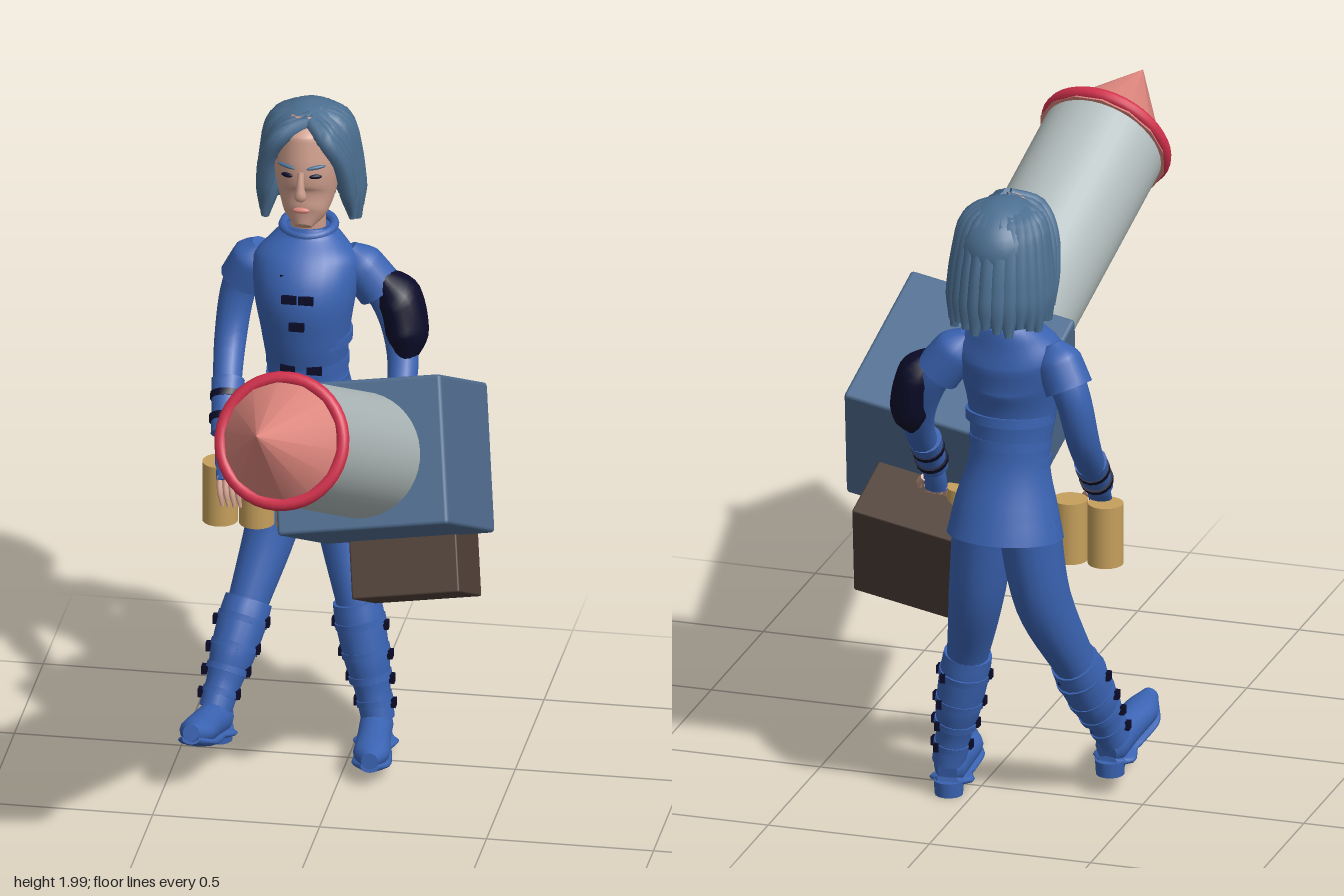
import * as THREE from 'three';
import { RoundedBoxGeometry } from 'three/addons/geometries/RoundedBoxGeometry.js';

const mat = (name, color) => {
  const m = new THREE.MeshStandardMaterial({ color });
  m.name = name;
  return m;
};
const M = {
  cloth: mat('blue cloth', 0x3a63b2), hair: mat('hair blue', 0x4c6f91), steel: mat('steel blue', 0x506d90),
  tube: mat('pale grey', 0xb2bcbc), nose: mat('salmon', 0xdb857c), ring: mat('crimson', 0xd2304c),
  gold: mat('brass', 0xc6a05c), brown: mat('dark brown', 0x4f3f37), dark: mat('midnight', 0x0b0b2a),
  skin: mat('skin', 0xd0a08e),
};

function add(parent, name, geo, material, pos = [0, 0, 0], rot = [0, 0, 0], scale = [1, 1, 1]) {
  const mesh = new THREE.Mesh(geo, material);
  mesh.name = name;
  mesh.position.set(...pos);
  mesh.rotation.set(...rot);
  mesh.scale.set(...scale);
  parent.add(mesh);
  return mesh;
}

// Closed body swept through stations [x, y, z, halfWidth, halfDepth]
function sweep(stations, sides = 16, steps = 6) {
  const path = new THREE.CatmullRomCurve3(stations.map(s => new THREE.Vector3(s[0], s[1], s[2])));
  const size = new THREE.CatmullRomCurve3(stations.map(s => new THREE.Vector3(s[3], s[4] ?? s[3], 0)));
  const n = (stations.length - 1) * steps, pos = [], idx = [];
  const ring = t => {
    const c = path.getPoint(t), r = size.getPoint(t), T = path.getTangent(t);
    const S = new THREE.Vector3(1, 0, 0).addScaledVector(T, -T.x).normalize();
    const U = T.clone().cross(S);
    for (let j = 0; j < sides; j++) {
      const a = j / sides * Math.PI * 2;
      const p = c.clone().addScaledVector(S, Math.cos(a) * r.x).addScaledVector(U, Math.sin(a) * r.y);
      pos.push(p.x, p.y, p.z);
    }
    return c;
  };
  for (let i = 0; i <= n; i++) ring(i / n);
  for (let i = 0; i < n; i++) for (let j = 0; j < sides; j++) {
    const k = (j + 1) % sides, a = i * sides + j, b = i * sides + k;
    idx.push(a, b, b + sides, a, b + sides, a + sides);
  }
  for (const t of [0, 1]) { // end caps
    const base = pos.length / 3, c = ring(t), mid = base + sides;
    pos.push(c.x, c.y, c.z);
    for (let j = 0; j < sides; j++) {
      const k = (j + 1) % sides;
      idx.push(mid, base + (t ? j : k), base + (t ? k : j));
    }
  }
  const g = new THREE.BufferGeometry();
  g.setAttribute('position', new THREE.Float32BufferAttribute(pos, 3));
  g.setIndex(idx);
  g.computeVertexNormals();
  return g;
}

const group = (parent, name) => {
  const g = new THREE.Group();
  g.name = name;
  parent.add(g);
  return g;
};

function buildLauncher(root) {
  const g = group(root, 'launcher');
  const Z = new THREE.Vector3(-0.13, 0.5, 1).normalize();
  const X = new THREE.Vector3(0.985, 0.17, 0.045).addScaledVector(Z, 0).normalize();
  const Y = Z.clone().cross(X).normalize();
  X.crossVectors(Y, Z);
  g.setRotationFromMatrix(new THREE.Matrix4().makeBasis(X, Y, Z));
  g.position.set(0.145, 1.095, -0.25);
  const q = Math.PI / 2;
  add(g, 'housing', new RoundedBoxGeometry(0.525, 0.445, 0.525, 2, 0.012), M.steel);
  add(g, 'grip block', new RoundedBoxGeometry(0.33, 0.36, 0.25, 2, 0.006), M.brown, [-0.01, -0.214, -0.343]);
  add(g, 'rocket tube', new THREE.CylinderGeometry(0.188, 0.188, 0.87, 40), M.tube, [0, 0, 0.665], [q, 0, 0]);
  add(g, 'nose cone', new THREE.ConeGeometry(0.202, 0.315, 14), M.nose, [0, 0, 1.2475], [q, 0, 0]);
  add(g, 'nose ring', new THREE.TorusGeometry(0.187, 0.02, 12, 40), M.ring, [0, 0, 1.12]);
}

function buildHead(root) {
  const g = group(root, 'head');
  const cx = -0.165, ball = new THREE.SphereGeometry(1, 16, 12);
  add(g, 'face', sweep([[cx, 1.635, -0.675, 0.025, 0.022], [cx, 1.67, -0.703, 0.062, 0.067], [cx, 1.73, -0.74, 0.086, 0.108],
    [cx, 1.82, -0.76, 0.1, 0.133], [cx, 1.9, -0.78, 0.1, 0.14], [cx, 1.96, -0.79, 0.06, 0.09]], 24), M.skin);
  add(g, 'neck', sweep([[cx, 1.52, -0.78, 0.062], [cx, 1.6, -0.76, 0.053], [cx, 1.7, -0.75, 0.055]]), M.skin);
  add(g, 'nose', sweep([[cx, 1.83, -0.632, 0.009], [cx, 1.78, -0.622, 0.013, 0.015], [cx, 1.755, -0.622, 0.019, 0.018],
    [cx, 1.742, -0.633, 0.012, 0.008]], 10), M.skin);
  add(g, 'lips', ball, M.nose, [cx, 1.703, -0.637], [0, 0, 0], [0.026, 0.009, 0.009]);
  for (const s of [-1, 1]) {
    add(g, 'eye', ball, M.dark, [cx + s * 0.043, 1.815, -0.638], [0, s * 0.35, 0], [0.019, 0.007, 0.006]);
    add(g, 'eyebrow', ball, M.hair, [cx + s * 0.045, 1.845, -0.638], [0, s * 0.4, s * 0.12], [0.03, 0.006, 0.007]);
    add(g, 'ear', ball, M.skin, [cx + s * 0.1, 1.79, -0.775], [0, 0, 0], [0.015, 0.038, 0.026]);
  }
  // Bob: skull cap, hanging locks round the back, swept fringe
  const h = group(g, 'hair');
  add(h, 'hair cap', new THREE.SphereGeometry(1, 28, 18), M.hair, [cx, 1.86, -0.805], [-0.25, 0, 0], [0.135, 0.128, 0.155]);
  const locks = 17;
  for (let i = 0; i < locks; i++) {
    const a = (i / (locks - 1) * 2 - 1) * 1.95, sx = Math.sin(a), sz = -Math.cos(a), drop = (i % 3) * 0.012;
    add(h, 'lock', sweep([[cx + sx * 0.025, 1.966, -0.775 + sz * 0.03, 0.022], [cx + sx * 0.098, 1.925, -0.8 + sz * 0.09, 0.03],
      [cx + sx * 0.122, 1.82, -0.815 + sz * 0.122, 0.032], [cx + sx * 0.13, 1.72, -0.825 + sz * 0.13, 0.034],
      [cx + sx * 0.142, 1.615 + drop, -0.828 + sz * 0.145, 0.012]], 8, 4), M.hair);
  }
  for (const s of [-1, 1]) for (let k = 0; k < 3; k++) {
    const z = -k * 0.035;
    add(h, 'fringe', sweep([[cx + 0.015, 1.965, -0.7 + z, 0.022], [cx + s * 0.065, 1.925, -0.665 + z, 0.028],
      [cx + s * 0.108, 1.85, -0.68 + z, 0.026], [cx + s * 0.125, 1.74, -0.715 + z, 0.024],
      [cx + s * 0.135, 1.65, -0.745 + z, 0.008]], 8, 4), M.hair);
  }
}

function buildTorso(root) {
  const g = group(root, 'torso');
  add(g, 'tunic', sweep([[-0.15, 0.905, -0.735, 0.175, 0.158], [-0.15, 1.0, -0.725, 0.155, 0.138], [-0.158, 1.16, -0.715, 0.12, 0.105],
    [-0.162, 1.3, -0.702, 0.133, 0.122], [-0.165, 1.41, -0.71, 0.152, 0.142], [-0.165, 1.5, -0.745, 0.162, 0.122],
    [-0.165, 1.56, -0.765, 0.115, 0.09], [-0.165, 1.6, -0.772, 0.076, 0.078]], 28), M.cloth);
  add(g, 'collar', new THREE.TorusGeometry(0.076, 0.014, 8, 28), M.cloth, [-0.165, 1.6, -0.772], [Math.PI / 2 + 0.1, 0, 0]);
  for (const [y, r, d] of [[1.14, 0.123, 0.108], [1.2, 0.124, 0.109], [1.28, 0.134, 0.122]])
    add(g, 'waist belt', sweep([[-0.158, y - 0.015, -0.712, r, d], [-0.158, y + 0.015, -0.71, r, d]], 28, 2), M.cloth);
  // Front fastenings
  const buckle = new THREE.BoxGeometry(0.045, 0.025, 0.012);
  for (const [x, y, z] of [[-0.2, 1.49, -0.612], [-0.14, 1.49, -0.612], [-0.19, 1.44, -0.572], [-0.14, 1.44, -0.572],
    [-0.165, 1.36, -0.556], [-0.2, 1.2, -0.606], [-0.12, 1.2, -0.606], [-0.165, 1.14, -0.603]])
    add(g, 'buckle', buckle, M.dark, [x, y, z]);
  for (let i = 0; i < 5; i++)
    add(g, 'belt canister', new THREE.CylinderGeometry(0.053, 0.053, 0.19, 20), M.gold, [-0.382 + i * 0.11, 0.845, -0.49]);
}

function buildHand(g, w, p) {
  add(g, 'glove', sweep([[...w, 0.03, 0.025], [(w[0] + p[0]) / 2, (w[1] + p[1]) / 2, (w[2] + p[2]) / 2, 0.036, 0.024],
    [...p, 0.036, 0.02]], 12), M.cloth);
  for (let i = 0; i < 4; i++) {
    const x = p[0] - 0.027 + i * 0.018;
    add(g, 'finger', sweep([[x, p[1] + 0.01, p[2] - 0.005, 0.01], [x + 0.006, p[1] - 0.03, p[2] + 0.025, 0.009],
      [x + 0.014, p[1] - 0.07, p[2] + 0.03, 0.005]], 8, 3), M.skin);
  }
  add(g, 'thumb', sweep([[p[0] + 0.03, p[1] + 0.04, p[2] - 0.02, 0.012], [p[0] + 0.055, p[1] + 0.01, p[2] + 0.01, 0.01],
    [p[0] + 0.06, p[1] - 0.02, p[2] + 0.03, 0.005]], 8, 3), M.skin);
}

function buildArm(root, name, pts, palm) {
  const g = group(root, name);
  const [s, u, e, w] = pts;
  add(g, 'sleeve', sweep([[...s, 0.06], [...u, 0.053], [...e, 0.048], [...w, 0.036]]), M.cloth);
  const at = (a, b, t) => a.map((v, i) => v + (b[i] - v) * t);
  add(g, 'shoulder cap', sweep([[...at(s, u, -0.45), 0.03], [...at(s, u, 0), 0.068], [...at(s, u, 0.75), 0.072]]), M.cloth);
  add(g, 'gauntlet', sweep([[...at(e, w, 0.45), 0.05], [...at(e, w, 0.75), 0.045], [...at(e, w, 1.05), 0.043]]), M.cloth);
  for (const t of [0.6, 0.85])
    add(g, 'wrist strap', sweep([[...at(e, w, t), 0.051], [...at(e, w, t + 0.07), 0.05]], 16, 2), M.dark);
  buildHand(g, w, palm);
}

function buildLeg(root, name, hip, thigh, knee, ankle, foot) {
  const g = group(root, name);
  add(g, 'trouser', sweep([[...hip, 0.092, 0.115], [...thigh, 0.083, 0.098], [...knee, 0.06, 0.068], [...ankle, 0.045, 0.05]], 18), M.cloth);
  const at = t => knee.map((v, i) => v + (ankle[i] - v) * t);
  add(g, 'boot shaft', sweep([[...at(-0.08), 0.072, 0.076], [...at(0.12), 0.074, 0.08], [...at(0.5), 0.068, 0.078],
    [...at(0.85), 0.052, 0.06], [...at(1.12), 0.05, 0.06]], 18), M.cloth);
  for (const [t, r] of [[0.1, 0.077], [0.4, 0.073], [0.65, 0.065], [0.9, 0.055]]) {
    const c = at(t), b = at(t + 0.07);
    add(g, 'boot strap', sweep([[...c, r, r + 0.009], [...b, r, r + 0.007]], 18, 2), M.cloth);
    for (const [x, z] of [[1, 0.1], [-1, 0.1], [0.55, -0.85]])
      add(g, 'boot buckle', new THREE.BoxGeometry(0.016, 0.026, 0.026), M.dark, [b[0] + x * r, b[1] + 0.01, b[2] + z * r]);
  }
  // Foot and sole run from heel to toe
  add(g, 'foot', sweep(foot, 16), M.cloth);
  add(g, 'sole', sweep(foot.map(f => [f[0], f[1] - f[4] * 0.8, f[2], f[3] * 1.08, 0.016]), 16), M.cloth);
  const h = foot[1];
  add(g, 'heel', new THREE.CylinderGeometry(0.045, 0.042, 0.045, 14), M.cloth, [h[0], h[1] - h[4] - 0.005, h[2] - 0.015]);
}

export function createModel() {
  const root = new THREE.Group();
  root.name = 'rocket carrier';
  buildLauncher(root);
  buildHead(root);
  buildTorso(root);
  buildArm(root, 'right arm', [[-0.325, 1.485, -0.765], [-0.375, 1.38, -0.785], [-0.395, 1.22, -0.74], [-0.375, 1.02, -0.54]], [-0.345, 0.91, -0.42]);
  buildArm(root, 'left arm', [[-0.01, 1.485, -0.765], [0.07, 1.38, -0.77], [0.125, 1.23, -0.72], [0.13, 1.03, -0.56]], [0.13, 0.94, -0.53]);
  add(root, 'left arm guard', sweep([[0.055, 1.465, -0.75, 0.02, 0.03], [0.11, 1.39, -0.755, 0.065, 0.088],
    [0.135, 1.29, -0.74, 0.065, 0.092], [0.135, 1.21, -0.71, 0.03, 0.045]], 14), M.dark);
  buildLeg(root, 'right leg', [-0.22, 0.96, -0.735], [-0.25, 0.7, -0.69], [-0.315, 0.44, -0.56], [-0.375, 0.2, -0.425],
    [[-0.375, 0.135, -0.455, 0.03, 0.035], [-0.378, 0.145, -0.42, 0.05, 0.055], [-0.39, 0.165, -0.32, 0.05, 0.05],
      [-0.402, 0.185, -0.22, 0.055, 0.042], [-0.41, 0.21, -0.145, 0.025, 0.025]]);
  buildLeg(root, 'left leg', [-0.085, 0.96, -0.735], [-0.05, 0.7, -0.695], [0.01, 0.44, -0.61], [0.07, 0.14, -0.575],
    [[0.07, 0.08, -0.61, 0.03, 0.035], [0.072, 0.085, -0.575, 0.05, 0.055], [0.08, 0.08, -0.48, 0.05, 0.05],
      [0.09, 0.08, -0.38, 0.055, 0.042], [0.097, 0.085, -0.305, 0.025, 0.025]]);
  return root;
}
